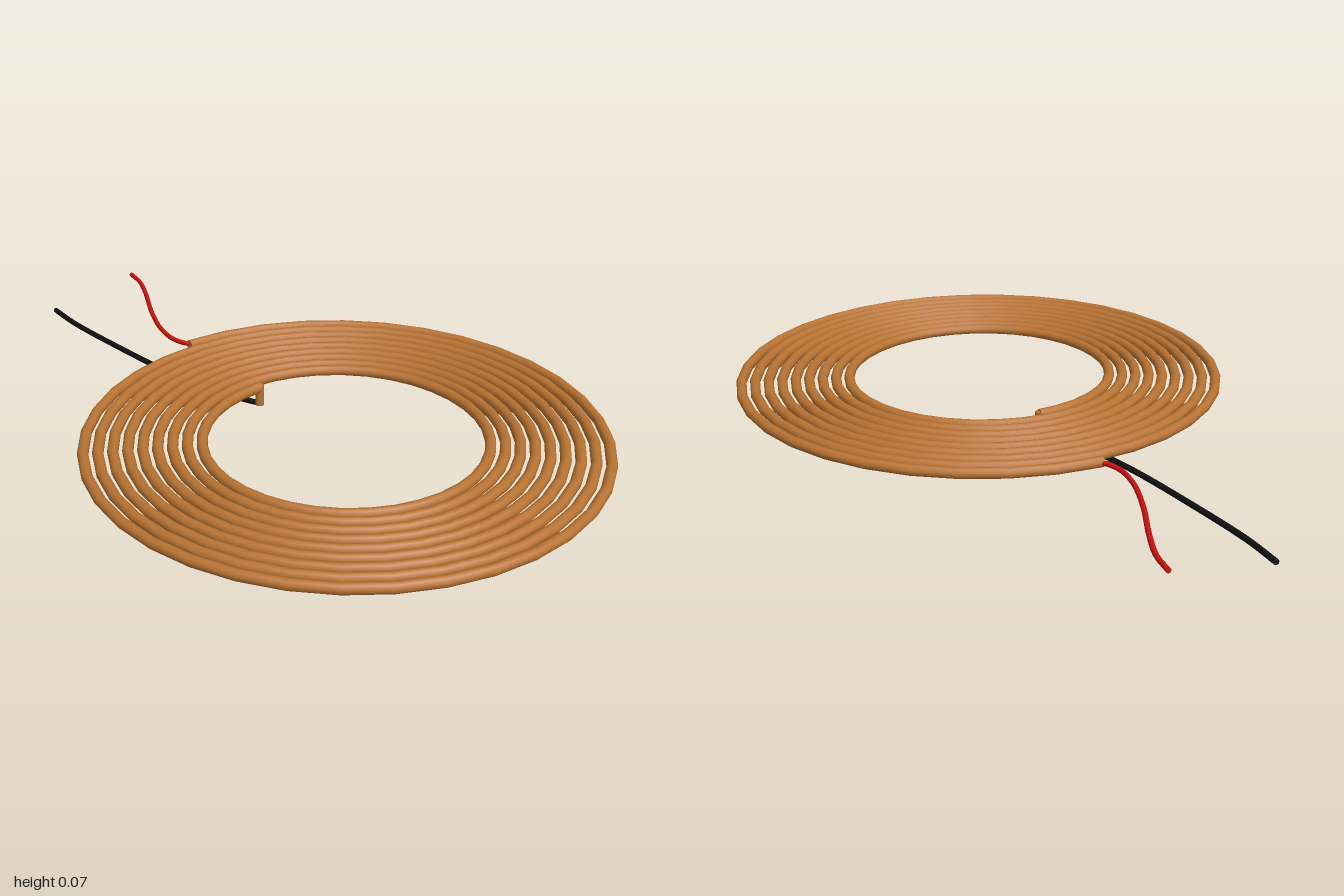
import * as THREE from 'three';

const COIL_Y = 0.058, LEAD_Y = 0.008;
const CENTRE_X = 0.286, CENTRE_Z = 0.01;
const R_IN = 0.367, R_OUT = 0.718, TURNS = 9, SIDES_PER_TURN = 36, WIRE = 0.015;

// Flat spiral: starts on the right-hand (-x) side of the hole and grows outwards
class Spiral extends THREE.Curve {
  getPoint(t, target = new THREE.Vector3()) {
    const a = Math.PI - t * TURNS * Math.PI * 2;
    const r = R_IN + (R_OUT - R_IN) * t;
    return target.set(CENTRE_X + r * Math.cos(a), COIL_Y, CENTRE_Z + r * Math.sin(a));
  }
  // even angle steps, so that every turn has the same number of sides
  getPointAt(t, target) { return this.getPoint(t, target); }
  getTangentAt(t, target) { return this.getTangent(t, target); }
}

export function createModel() {
  const group = new THREE.Group();
  const copper = new THREE.MeshStandardMaterial({ color: 0xb87333 });
  const red = new THREE.MeshStandardMaterial({ color: 0xcc1111 });
  const black = new THREE.MeshStandardMaterial({ color: 0x111111 });

  const add = (name, geometry, material) => {
    const mesh = new THREE.Mesh(geometry, material);
    mesh.name = name;
    group.add(mesh);
    return mesh;
  };

  // Round disc closing a wire end, facing along dir
  const addCap = (name, point, dir, radius, material) => {
    const cap = add(name, new THREE.CircleGeometry(radius, 10), material);
    cap.position.copy(point);
    cap.quaternion.setFromUnitVectors(new THREE.Vector3(0, 0, 1), dir);
  };

  const addWire = (name, curve, segments, radius, material) => {
    add(name, new THREE.TubeGeometry(curve, segments, radius, 10), material);
    addCap(name + 'StartCap', curve.getPointAt(0), curve.getTangentAt(0).negate(), radius, material);
    addCap(name + 'EndCap', curve.getPointAt(1), curve.getTangentAt(1), radius, material);
  };

  // Spiral winding
  addWire('coil', new Spiral(), TURNS * SIDES_PER_TURN, WIRE, copper);

  // Inner end of the winding, bent down to the lower lead
  const stubBottom = 0.004, stubTop = COIL_Y + 0.008;
  const stub = add('innerTail', new THREE.CylinderGeometry(0.0125, 0.0125, stubTop - stubBottom, 10), copper);
  stub.position.set(CENTRE_X - R_IN, (stubTop + stubBottom) / 2, CENTRE_Z);

  // Leads: smooth curves through [x, z] points at one height
  const lead = (name, y, points, radius, material) =>
    addWire(name, new THREE.CatmullRomCurve3(points.map(([x, z]) => new THREE.Vector3(x, y, z))), 40, radius, material);

  lead('outerLead', COIL_Y, [
    [-1, -0.145], [-0.93, -0.133], [-0.84, -0.097], [-0.7, -0.03],
    [-0.58, 0.014], [-0.5, 0.025], [-0.455, 0.015], [-0.432, 0],
  ], 0.007, red);

  lead('innerLead', LEAD_Y, [
    [-1, 0.147], [-0.88, 0.151], [-0.665, 0.136], [-0.41, 0.107],
    [-0.24, 0.07], [-0.13, 0.033], [-0.08, 0.01],
  ], 0.008, black);

  return group;
}
